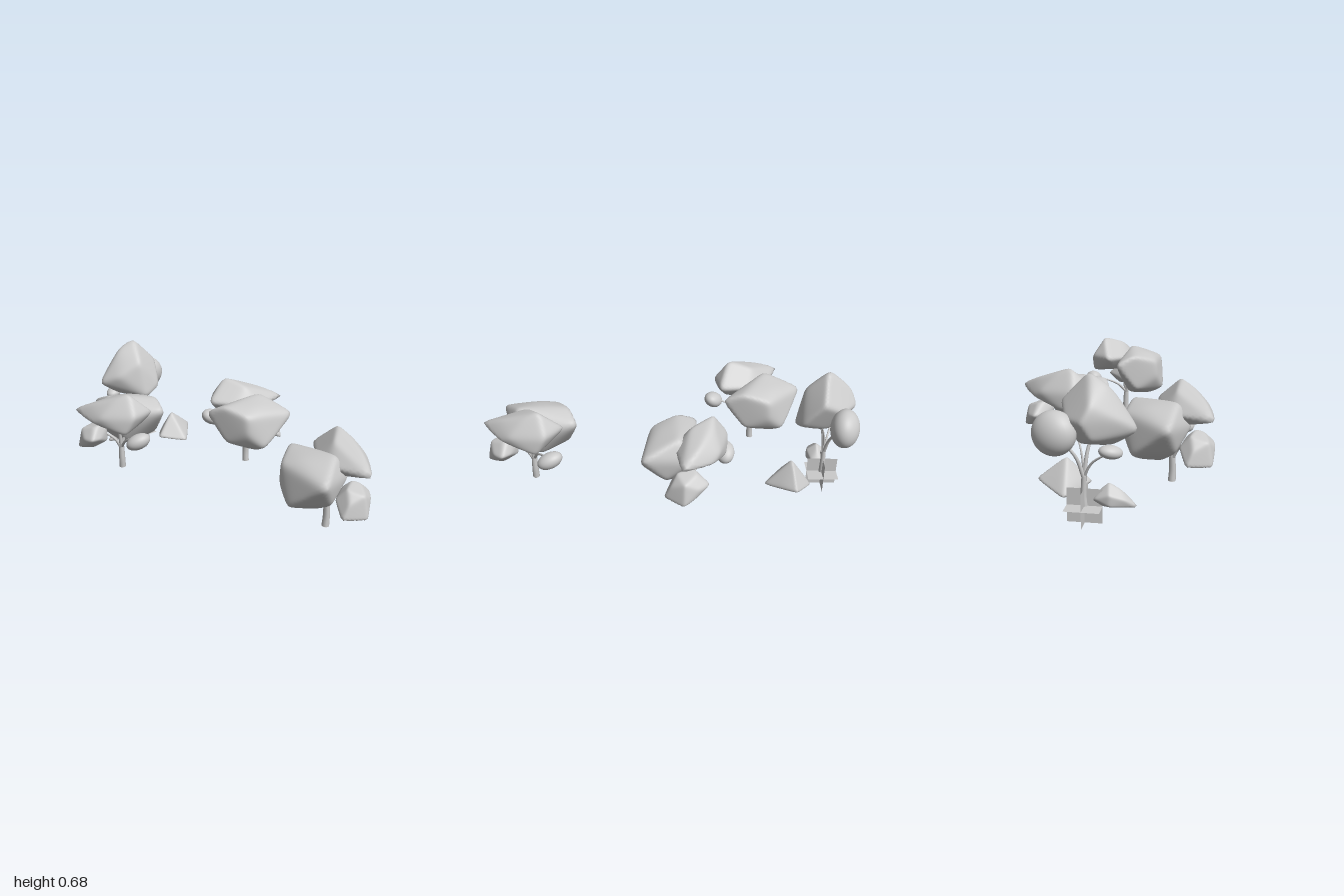
import * as THREE from 'three';
import { mergeVertices } from 'three/addons/utils/BufferGeometryUtils.js';
import { ConvexGeometry } from 'three/addons/geometries/ConvexGeometry.js';

const grey = new THREE.MeshStandardMaterial({ color: 0xcccccc });
const greyThin = new THREE.MeshStandardMaterial({ color: 0xcccccc, side: THREE.DoubleSide });
const V = (p) => new THREE.Vector3(...p);

// Unit ball with shared vertices, so that it shades smoothly
function ball(detail) {
  const geo = new THREE.IcosahedronGeometry(1, detail);
  geo.deleteAttribute('normal');
  geo.deleteAttribute('uv');
  return mergeVertices(geo, 1e-4);
}

// Leaf clump: a rounded hull around a rough ellipsoid core and a few corners
function clump(name, centre, radii, corners) {
  const core = ball(0).scale(...radii).attributes.position;
  const points = corners.map((c) => V(c).sub(V(centre)));
  for (let i = 0; i < core.count; i++) points.push(new THREE.Vector3().fromBufferAttribute(core, i));
  const hull = new ConvexGeometry(points).attributes.position;
  const planes = [];
  for (let i = 0; i < hull.count; i += 3) {
    const [a, b, c] = [0, 1, 2].map((k) => new THREE.Vector3().fromBufferAttribute(hull, i + k));
    const normal = b.sub(a).cross(c.sub(a)).normalize();
    planes.push(normal.divideScalar(normal.dot(a)));
  }
  const geo = ball(14);
  const pos = geo.attributes.position;
  const n = new THREE.Vector3();
  for (let i = 0; i < pos.count; i++) {
    n.fromBufferAttribute(pos, i).normalize();
    // soft minimum of the distances to all hull planes
    const sum = planes.reduce((s, q) => s + Math.max(0, n.dot(q)) ** 20, 0);
    n.multiplyScalar(1.06 * sum ** (-1 / 20));
    pos.setXYZ(i, n.x, n.y, n.z);
  }
  geo.computeVertexNormals();
  const mesh = new THREE.Mesh(geo, grey);
  mesh.name = name;
  mesh.position.set(...centre);
  return mesh;
}

// Plain egg-shaped clump
function egg(name, centre, radii, tilt) {
  const mesh = new THREE.Mesh(new THREE.SphereGeometry(1, 32, 24), grey);
  mesh.name = name;
  mesh.position.set(...centre);
  mesh.scale.set(...radii);
  mesh.rotation.set(...tilt);
  return mesh;
}

// Curved limb that narrows from r0 to r1
function limb(name, points, r0, r1) {
  const path = new THREE.CatmullRomCurve3(points.map(V));
  const steps = 12, sides = 10;
  const geo = new THREE.TubeGeometry(path, steps, 1, sides, false);
  const pos = geo.attributes.position;
  const v = new THREE.Vector3();
  for (let i = 0; i < pos.count; i++) {
    const t = Math.floor(i / (sides + 1)) / steps;
    const c = path.getPointAt(t);
    v.fromBufferAttribute(pos, i).sub(c).multiplyScalar(r0 + (r1 - r0) * t).add(c);
    pos.setXYZ(i, v.x, v.y, v.z);
  }
  const mesh = new THREE.Mesh(geo, greyThin);
  mesh.name = name;
  return mesh;
}

// Branch that rises steeply from the trunk, then bends out to its clump
function branch(name, y, end, radius) {
  const bend = [end[0] * 0.3, y + (end[1] - y) * 0.5, end[2] * 0.3];
  return limb(name, [[0, y, 0], bend, end], radius, radius * 0.5);
}

// Trunk with a closed foot
function trunk(top, radius) {
  const foot = new THREE.Mesh(new THREE.CircleGeometry(radius, 10), greyThin);
  foot.name = 'trunkFoot';
  foot.rotation.x = Math.PI / 2;
  foot.position.y = 0.08;
  return [limb('trunk', [[0, 0.08, 0], [0.003, 0.13, 0], [0, top, 0]], radius, radius * 0.8), foot];
}

function place(name, parts, x, z, degrees = 0) {
  const group = new THREE.Group();
  group.name = name;
  group.add(...parts);
  group.position.set(x, 0, z);
  group.rotation.y = THREE.MathUtils.degToRad(degrees);
  return group;
}

// Spreading tree with four clumps
function broadTree() {
  return [
    ...trunk(0.2, 0.019),
    branch('bigBranch', 0.19, [-0.06, 0.36, -0.03], 0.012),
    branch('upperBranch', 0.19, [0.06, 0.4, 0.02], 0.012),
    branch('frontBranch', 0.19, [0.02, 0.31, 0.11], 0.01),
    branch('sideBranch', 0.2, [0.17, 0.32, -0.11], 0.008),
    branch('rearBranch', 0.21, [-0.03, 0.36, -0.1], 0.009),
    clump('bigClump', [-0.09, 0.34, -0.04], [0.13, 0.145, 0.17], [
      [-0.2, 0.41, 0.17], [0.02, 0.42, -0.25], [-0.235, 0.25, -0.03], [-0.08, 0.47, -0.2],
      [-0.03, 0.49, 0.06], [0.05, 0.37, 0.08], [-0.07, 0.2, 0], [-0.2, 0.43, -0.12],
    ]),
    clump('upperClump', [0.08, 0.44, 0], [0.11, 0.1, 0.15], [
      [0.01, 0.43, 0.255], [0.195, 0.35, -0.05], [0.195, 0.45, -0.1], [0.12, 0.56, -0.07],
      [-0.05, 0.43, 0.05], [0.08, 0.45, -0.19], [0.14, 0.4, 0.13],
    ]),
    clump('lowClump', [0.02, 0.285, 0.145], [0.09, 0.07, 0.08], [
      [-0.09, 0.215, 0.18], [0.02, 0.21, 0.24], [0.05, 0.355, 0.11], [0.135, 0.29, 0.14], [0.08, 0.24, 0.19],
    ]),
    egg('smallClump', [0.185, 0.313, -0.12], [0.05, 0.042, 0.068], [0.4, 0.2, 0.3]),
  ];
}

// Taller, slimmer tree
function tallTree() {
  return [
    ...trunk(0.22, 0.015),
    branch('mainBranch', 0.21, [-0.04, 0.44, 0.05], 0.011),
    branch('secondBranch', 0.21, [0.11, 0.42, -0.06], 0.01),
    branch('sideBranch', 0.22, [-0.13, 0.36, -0.06], 0.007),
    branch('twig', 0.24, [0.05, 0.43, 0.05], 0.006),
    clump('mainClump', [-0.05, 0.5, 0.005], [0.14, 0.15, 0.14], [
      [-0.245, 0.45, -0.02], [-0.11, 0.64, -0.01], [-0.02, 0.69, 0.015], [0.105, 0.56, 0.04],
      [0.07, 0.42, 0.14], [-0.04, 0.37, 0.165], [-0.02, 0.5, -0.145],
    ]),
    egg('secondClump', [0.115, 0.435, -0.068], [0.105, 0.1, 0.075], [0.1, -0.3, -0.2]),
    egg('smallClump', [-0.13, 0.36, -0.06], [0.055, 0.03, 0.04], [0, 0.5, 0.2]),
  ];
}

// Three square panels crossing at right angles
function crossedPanels() {
  return [[0, 0], [0, Math.PI / 2], [Math.PI / 2, 0]].map(([rx, ry]) => {
    const panel = new THREE.Mesh(new THREE.PlaneGeometry(0.163, 0.163), greyThin);
    panel.name = 'panel';
    panel.rotation.set(rx, ry, 0);
    panel.position.y = 0.0815;
    return panel;
  });
}

export function createModel() {
  const model = new THREE.Group();
  model.name = 'grove';
  model.add(
    place('frontTree', broadTree(), 0.093, 0.75),
    place('leftTree', broadTree(), 0.285, -0.07, 82),
    place('rightTree', broadTree(), -0.317, -0.45, -130),
    place('tallTree', tallTree(), 0.037, -0.82),
    place('crossedPanels', crossedPanels(), 0.037, -0.82),
    clump('largeBush', [0.17, 0.13, -0.62], [0.08, 0.05, 0.08], [
      [0.3, 0.13, -0.65], [0.17, 0.09, -0.49], [0.045, 0.11, -0.6], [0.15, 0.075, -0.745], [0.16, 0.24, -0.63],
    ]),
    clump('smallBush', [-0.08, 0.12, -0.8], [0.08, 0.05, 0.06], [
      [-0.2, 0.08, -0.8], [-0.07, 0.19, -0.8], [0.01, 0.1, -0.8],
    ]),
  );
  return model;
}
